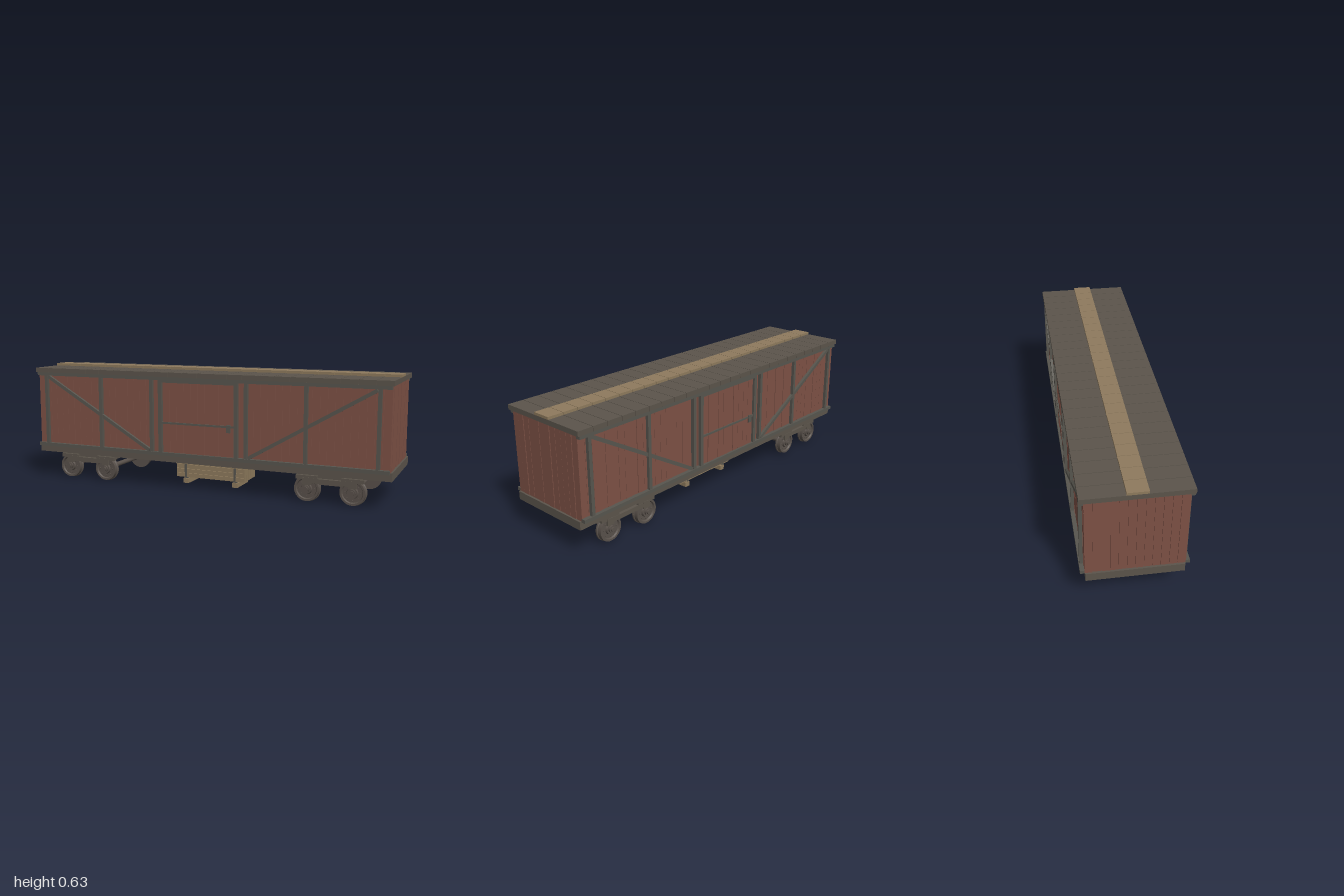
import * as THREE from 'three';

const mat = (name, color) => {
  const m = new THREE.MeshStandardMaterial({ color });
  m.name = name;
  return m;
};

export function createModel() {
  const red = mat('red boards', 0x7d5145);
  const dark = mat('weathered roof wood', 0x5b544b);
  const iron = mat('grey iron', 0x57554e);
  const wheelMat = mat('wheel steel', 0x58504a);
  const tan = mat('bare timber', 0x8e7a5d);

  const model = new THREE.Group();
  model.name = 'boxcar';

  const group = (name, parent = model) => {
    const g = new THREE.Group();
    g.name = name;
    parent.add(g);
    return g;
  };
  // Box given by its limits on each axis
  const box = (parent, name, m, x0, x1, y0, y1, z0, z1) => {
    const mesh = new THREE.Mesh(new THREE.BoxGeometry(x1 - x0, y1 - y0, z1 - z0), m);
    mesh.position.set((x0 + x1) / 2, (y0 + y1) / 2, (z0 + z1) / 2);
    mesh.name = name;
    parent.add(mesh);
    return mesh;
  };
  // Small repeatable variation for the board depths
  let seed = 7;
  const rand = () => (seed = (seed * 16807) % 2147483647) / 2147483647;

  // Underframe and body core
  box(model, 'underframe', dark, -1, 1, 0.143, 0.185, -0.227, 0.227);
  box(model, 'bodyCore', red, -0.985, 0.985, 0.185, 0.598, -0.224, 0.224);

  // Roof boards and the walkway along the ridge
  const roof = group('roof');
  const n = 24, w = 2 / n;
  box(roof, 'roofCore', dark, -0.995, 0.995, 0.598, 0.618, -0.247, 0.247);
  for (let i = 0; i < n; i++) {
    const x = -1 + i * w;
    box(roof, 'roofBoard', dark, x + (i ? 0.0015 : 0), x + w - (i < n - 1 ? 0.0015 : 0), 0.597, 0.622, -0.25, 0.25);
    box(roof, 'walkwayBoard', tan, x + (i ? 0.0015 : 0), x + w - (i < n - 1 ? 0.0015 : 0), 0.622, 0.635, -0.049, 0.049);
  }

  // End walls of twelve upright boards
  for (const s of [-1, 1]) {
    const end = group(s > 0 ? 'leftEndWall' : 'rightEndWall');
    const bw = 0.46 / 12;
    for (let i = 0; i < 12; i++) {
      const z = -0.23 + i * bw, x = 0.992 - 0.003 * rand();
      box(end, 'endBoard', red, s > 0 ? 0.98 : -x, s > 0 ? x : -0.98, 0.185, 0.597, z + 0.001, z + bw - 0.001);
    }
  }

  // Long side walls: boards, braces and sliding door, the same on both sides
  for (const s of [1, -1]) {
    const side = group(s > 0 ? 'frontWall' : 'backWall');
    const count = 52, bw = 1.98 / count;
    for (let i = 0; i < count; i++) {
      const x = -0.99 + i * bw;
      box(side, 'sideBoard', red, x + 0.0006, x + bw - 0.0006, 0.185, 0.597, 0.22, 0.229 + 0.003 * rand());
    }
    box(side, 'topRail', iron, -0.99, 0.99, 0.58, 0.597, 0.225, 0.248);
    box(side, 'bottomRail', iron, -0.99, 0.99, 0.18, 0.198, 0.225, 0.25);
    for (const m of [-1, 1]) {
      for (const x of [0.935, 0.58, 0.268]) {
        box(side, 'post', iron, m * x - 0.009, m * x + 0.009, 0.198, 0.58, 0.225, 0.247);
      }
      // Diagonal brace from the outer top to the inner bottom
      const dx = 0.64, dy = 0.372;
      const brace = box(side, 'diagonalBrace', iron, -Math.hypot(dx, dy) / 2, Math.hypot(dx, dy) / 2, -0.009, 0.009, 0.228, 0.245);
      brace.position.set(m * 0.602, 0.388, 0.2365);
      brace.rotation.z = m * Math.atan2(dy, dx);
    }

    // Sliding door with its iron frame
    const door = group('slidingDoor', side);
    const dw = 0.4 / 10;
    for (let i = 0; i < 10; i++) {
      const x = -0.2 + i * dw;
      box(door, 'doorBoard', red, x + 0.0008, x + dw - 0.0008, 0.198, 0.585, 0.228, 0.237 + 0.003 * rand());
    }
    for (const x of [-0.215, 0.215]) box(door, 'doorPost', iron, x - 0.01, x + 0.01, 0.198, 0.58, 0.228, 0.248);
    box(door, 'doorTrack', iron, -0.21, 0.21, 0.568, 0.58, 0.228, 0.248);
    box(door, 'doorBar', iron, -0.205, 0.205, 0.35, 0.36, 0.234, 0.245);
    box(door, 'doorLatch', iron, 0.165, 0.185, 0.325, 0.365, 0.235, 0.248);
    if (s < 0) side.rotation.y = Math.PI;
  }

  // Wheel with a flange inside, a dished outer face and a hub
  const profile = [
    [0.0, 0.181], [0.068, 0.181], [0.068, 0.189], [0.064, 0.192], [0.063, 0.212],
    [0.053, 0.212], [0.049, 0.204], [0.029, 0.204], [0.026, 0.214], [0, 0.214],
  ].map(([r, y]) => new THREE.Vector2(r, y));
  // Double each corner so the rings stay sharp
  const sharp = profile.flatMap((p, i) => (i && i < profile.length - 1 ? [p, p.clone()] : [p]));
  const wheelGeo = new THREE.LatheGeometry(sharp, 32);
  wheelGeo.rotateX(Math.PI / 2);

  const cylZ = (parent, name, m, r, x, y, z, len, seg = 16) => {
    const mesh = new THREE.Mesh(new THREE.CylinderGeometry(r, r, len, seg).rotateX(Math.PI / 2), m);
    mesh.position.set(x, y, z);
    mesh.name = name;
    parent.add(mesh);
  };

  // Two four-wheeled trucks
  for (const t of [-1, 1]) {
    const truck = group(t > 0 ? 'leftTruck' : 'rightTruck');
    truck.position.x = t * 0.695;
    box(truck, 'bolster', dark, -0.085, 0.085, 0.09, 0.143, -0.195, 0.195);
    for (const x of [-0.115, 0.115]) {
      cylZ(truck, 'axle', wheelMat, 0.013, x, 0.07, 0, 0.43);
      for (const s of [1, -1]) {
        const wheel = new THREE.Mesh(wheelGeo, wheelMat);
        wheel.name = 'wheel';
        wheel.position.set(x, 0.068, 0);
        if (s < 0) wheel.rotation.y = Math.PI;
        truck.add(wheel);
        cylZ(truck, 'hub', wheelMat, 0.018, x, 0.07, s * 0.2175, 0.013);
        cylZ(truck, 'axleCap', wheelMat, 0.012, x, 0.07, s * 0.225, 0.014);
        for (let k = 0; k < 8; k++) {
          const a = (k * Math.PI) / 4;
          cylZ(truck, 'wheelBolt', wheelMat, 0.004, x + 0.039 * Math.cos(a), 0.068 + 0.039 * Math.sin(a), s * 0.206, 0.008, 6);
        }
      }
    }
    // Side frames, raised over each wheel
    for (const z of [-0.205, 0.205]) {
      box(truck, 'sideFrame', dark, -0.125, 0.125, 0.098, 0.122, z - 0.009, z + 0.009);
      for (const x of [-0.115, 0.115]) {
        box(truck, 'frameArm', dark, x - 0.055, x + 0.055, 0.116, 0.136, z - 0.008, z + 0.008);
        box(truck, 'journalBox', dark, x - 0.02, x + 0.02, 0.088, 0.125, z - 0.01, z + 0.01);
      }
    }
  }

  // Timber crate below the floor, standing on two skids
  const crate = group('undersideCrate');
  box(crate, 'crateCore', tan, -0.194, 0.194, 0.036, 0.108, -0.074, 0.074);
  box(crate, 'crateLid', tan, -0.205, 0.205, 0.106, 0.118, -0.082, 0.082);
  for (let i = 0; i < 3; i++) {
    const y = 0.034 + i * 0.024;
    for (const z of [-0.077, 0.077]) box(crate, 'crateSlat', tan, -0.2, 0.2, y, y + 0.022, z - 0.004, z + 0.004);
  }
  for (let i = 0; i < 5; i++) {
    const z = -0.073 + i * 0.0292;
    for (const x of [-0.196, 0.196]) box(crate, 'crateEndBoard', tan, x - 0.004, x + 0.004, 0.034, 0.105, z + 0.001, z + 0.0282);
  }
  for (const x of [-0.145, 0.145]) {
    box(crate, 'skid', tan, x - 0.015, x + 0.015, 0, 0.026, -0.08, 0.08);
    box(crate, 'skidStrap', iron, x - 0.008, x + 0.008, 0.026, 0.036, -0.072, 0.072);
    for (const z of [-0.082, 0.082]) box(crate, 'crateStrap', iron, x - 0.006, x + 0.006, 0.03, 0.106, z - 0.0015, z + 0.0015);
  }

  return model;
}
